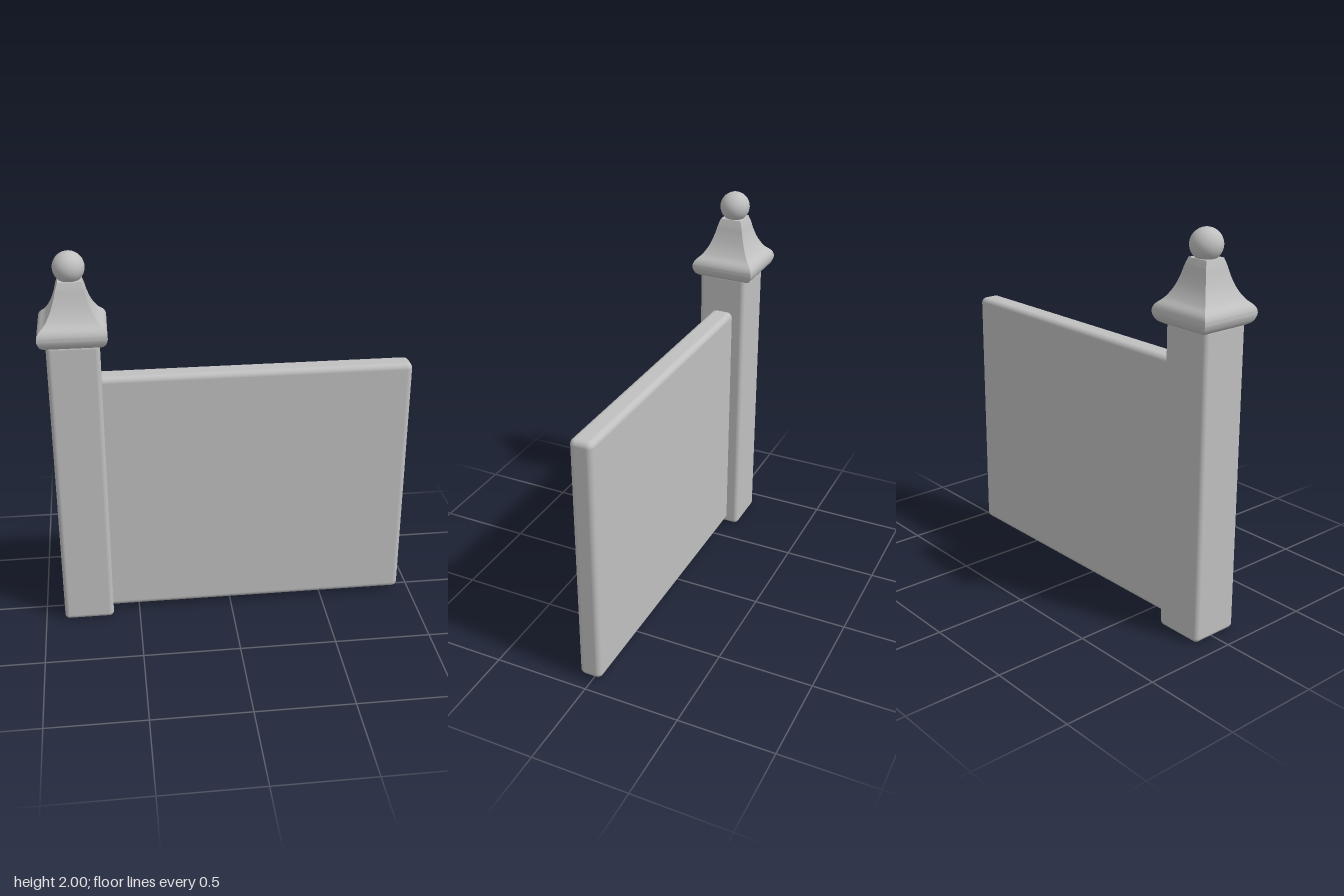
import * as THREE from 'three';
import { toCreasedNormals } from 'three/addons/utils/BufferGeometryUtils.js';
import { RoundedBoxGeometry } from 'three/addons/geometries/RoundedBoxGeometry.js';

const POST_X = -0.77;

export function createModel() {
  const model = new THREE.Group();
  model.name = 'gatePostWithPanel';
  const stone = new THREE.MeshStandardMaterial({ color: 0xc0c0c0 });
  stone.name = 'grey stone';

  const add = (name, geometry, x, y, z) => {
    const mesh = new THREE.Mesh(geometry, stone);
    mesh.name = name;
    mesh.position.set(x, y, z);
    model.add(mesh);
  };

  // Box with rounded edges, given by its extents
  const roundedBox = (name, [x0, x1], [y0, y1], [z0, z1], radius) =>
    add(name, new RoundedBoxGeometry(x1 - x0, y1 - y0, z1 - z0, 4, radius),
      (x0 + x1) / 2, (y0 + y1) / 2, (z0 + z1) / 2);

  // Square post and the wall panel running from it
  roundedBox('post', [-0.9, -0.64], [0, 1.575], [-0.12, 0.14], 0.025);
  roundedBox('wallPanel', [-0.72, 0.935], [0.02, 1.365], [-0.052, 0.068], 0.03);

  // Flared square cap: half-width and height of its outline
  const outline = new THREE.SplineCurve([
    [0.13, 1.555], [0.155, 1.573], [0.169, 1.61], [0.16, 1.645], [0.128, 1.678],
    [0.1, 1.725], [0.08, 1.78], [0.067, 1.83], [0.056, 1.863],
  ].map(([w, y]) => new THREE.Vector2(w * Math.SQRT2, y))).getPoints(32);
  const profile = [
    new THREE.Vector2(0, outline[0].y),
    ...outline,
    new THREE.Vector2(0, outline[outline.length - 1].y),
  ];
  const cap = new THREE.LatheGeometry(profile, 4, Math.PI / 4);
  add('postCap', toCreasedNormals(cap, 0.75), POST_X, 0, 0);

  // Ball finial
  add('finialBall', new THREE.SphereGeometry(0.078, 32, 20), POST_X, 1.922, 0);

  return model;
}
